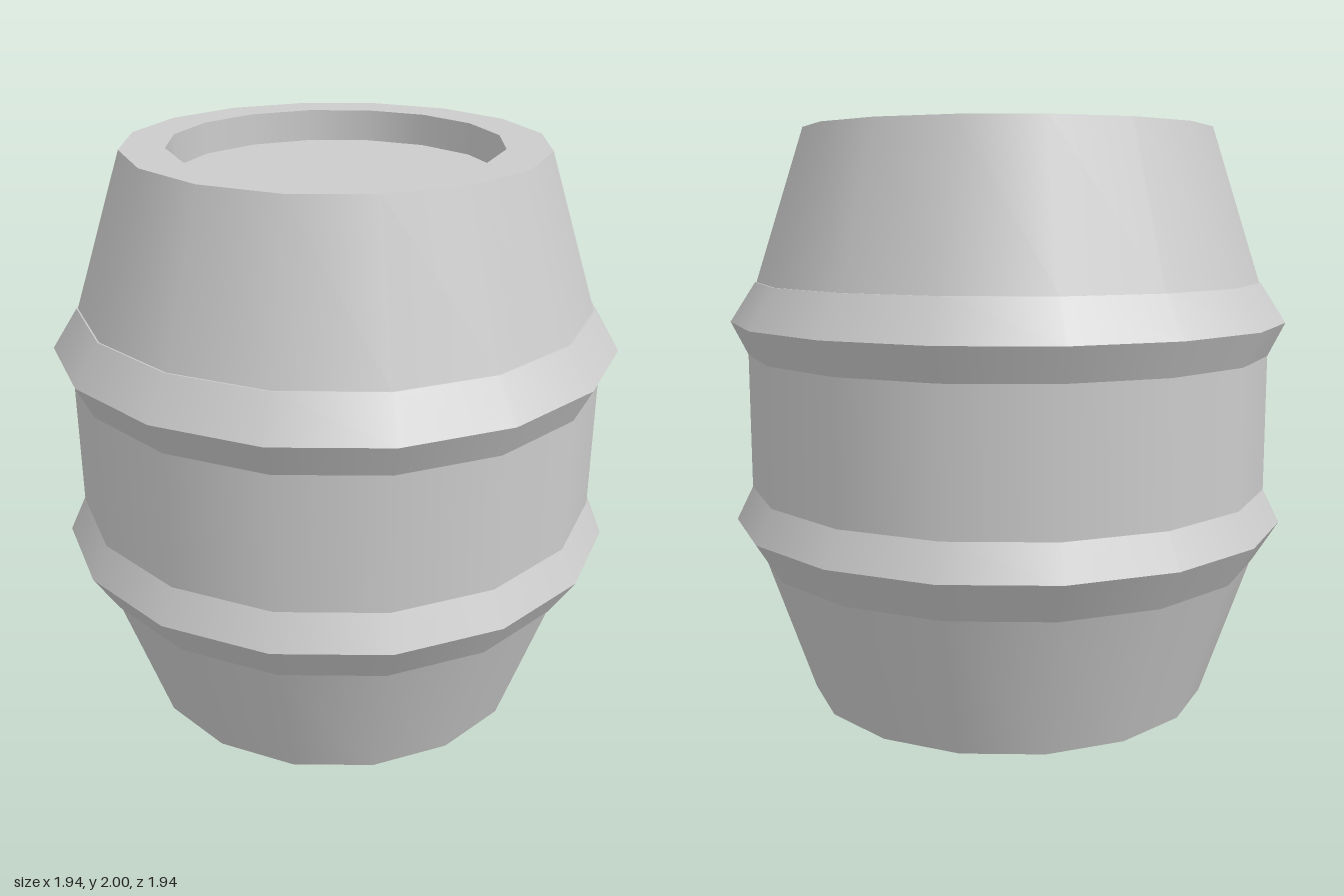
import * as THREE from 'three';
import { mergeGeometries } from 'three/addons/utils/BufferGeometryUtils.js';

const SIDES = 16;

// Revolve a profile, smooth around the axis but sharp between bands
function turned(name, profile) {
  const bands = [];
  for (let i = 0; i < profile.length - 1; i++) {
    const pair = [profile[i], profile[i + 1]].map(([r, y]) => new THREE.Vector2(r, y));
    bands.push(new THREE.LatheGeometry(pair, SIDES));
  }
  const material = new THREE.MeshStandardMaterial({ color: 0xcccccc });
  const mesh = new THREE.Mesh(mergeGeometries(bands), material);
  mesh.name = name;
  return mesh;
}

export function createModel() {
  const barrel = new THREE.Group();
  barrel.name = 'barrel';

  // Staves
  barrel.add(turned('staves', [
    [0.71, 0], [0.88, 0.5], [0.915, 0.62],
    [0.915, 1.36], [0.88, 1.475], [0.71, 2],
  ]));

  // Lid: flat rim and shallow recess
  barrel.add(turned('lid', [[0.71, 2], [0.56, 2], [0.56, 1.89], [0, 1.89]]));

  // Hollow underside
  barrel.add(turned('hollowBase', [[0, 0.69], [0.71, 0.69], [0.71, 0]]));

  // Pointed hoops, mirrored about mid height
  barrel.add(turned('lowerHoop', [[0.87, 0.5], [0.885, 0.5], [0.972, 0.64], [0.915, 0.755]]));
  barrel.add(turned('upperHoop', [[0.915, 1.225], [0.972, 1.34], [0.885, 1.475], [0.87, 1.475]]));

  return barrel;
}
